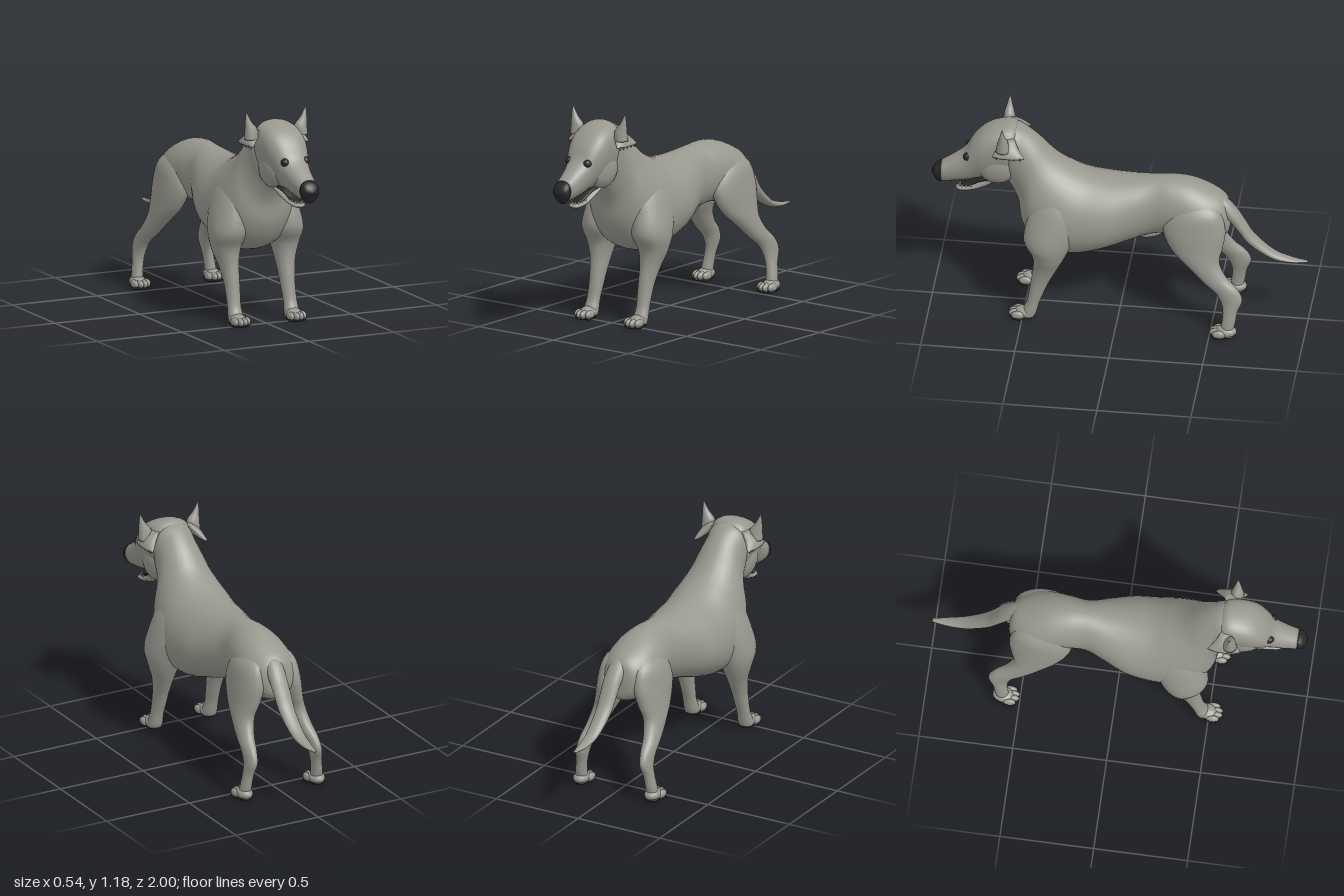
import * as THREE from 'three';

const coat = new THREE.MeshStandardMaterial({ color: 0x99988f });
coat.name = 'grey coat';
const dark = new THREE.MeshStandardMaterial({ color: 0x262626 });
dark.name = 'dark skin';
const ivory = new THREE.MeshStandardMaterial({ color: 0xc4c0b4 });
ivory.name = 'ivory teeth';

// Smooth skin over elliptical sections: [zA, yA, zB, yB, halfWidth, centreX, bulge].
// A and B are opposite points of the ring; bulge moves its widest line towards A (+) or B (-).
function loft(sections, segs = 28, sub = 5) {
  const curve = (f) => new THREE.CatmullRomCurve3(sections.map(f), false, 'catmullrom', 0.5);
  const ca = curve((s) => new THREE.Vector3(0, s[1], s[0]));
  const cb = curve((s) => new THREE.Vector3(0, s[3], s[2]));
  const cw = curve((s) => new THREE.Vector3(s[4], s[5] || 0, s[6] || 0));
  const rows = (sections.length - 1) * sub;
  const pos = [], index = [], mids = [], halves = [];
  for (let i = 0; i <= rows; i++) {
    const a = ca.getPoint(i / rows), b = cb.getPoint(i / rows), w = cw.getPoint(i / rows);
    const mid = a.clone().add(b).multiplyScalar(0.5).setX(w.y);
    const half = a.sub(b).multiplyScalar(0.5);
    mids.push(mid);
    halves.push(half);
    for (let j = 0; j < segs; j++) {
      const t = (j / segs) * Math.PI * 2, s = Math.sin(t);
      const p = mid.clone().addScaledVector(half, Math.cos(t) + w.z * s * s);
      pos.push(p.x + s * Math.max(w.x, 0.002), p.y, p.z);
    }
  }
  const m = Math.floor(rows / 2);
  const dir = mids[m + 1].clone().sub(mids[m]);
  const flip = new THREE.Vector3(1, 0, 0).cross(dir).dot(halves[m]) < 0;
  const tri = (a, b, c) => (flip ? index.push(a, c, b) : index.push(a, b, c));
  for (let i = 0; i < rows; i++) {
    for (let j = 0; j < segs; j++) {
      const k = (j + 1) % segs, a = i * segs, b = a + segs;
      tri(a + j, a + k, b + j);
      tri(a + k, b + k, b + j);
    }
  }
  // end caps
  const first = pos.length / 3, last = rows * segs;
  pos.push(...mids[0].toArray(), ...mids[rows].toArray());
  for (let j = 0; j < segs; j++) {
    const k = (j + 1) % segs;
    tri(first, k, j);
    tri(first + 1, last + j, last + k);
  }
  const geo = new THREE.BufferGeometry();
  geo.setAttribute('position', new THREE.Float32BufferAttribute(pos, 3));
  geo.setIndex(index);
  geo.computeVertexNormals();
  return geo;
}

export function createModel() {
  const dog = new THREE.Group();
  dog.name = 'dog';
  const add = (name, geo, mat = coat, parent = dog) => {
    const mesh = new THREE.Mesh(geo, mat);
    mesh.name = name;
    parent.add(mesh);
    return mesh;
  };
  const ball = (name, x, y, z, rx, ry, rz, mat, parent) => {
    const mesh = add(name, new THREE.SphereGeometry(1, 18, 12), mat, parent);
    mesh.position.set(x, y, z);
    mesh.scale.set(rx, ry, rz);
    return mesh;
  };

  // rump, belly, chest and neck in one skin
  add('body', loft([
    [-0.585, 0.66, -0.585, 0.6, 0.03], [-0.56, 0.74, -0.575, 0.53, 0.09],
    [-0.48, 0.79, -0.5, 0.5, 0.142], [-0.38, 0.83, -0.38, 0.5, 0.15],
    [-0.28, 0.845, -0.27, 0.51, 0.136], [-0.18, 0.84, -0.16, 0.49, 0.127],
    [-0.06, 0.828, -0.06, 0.455, 0.165], [0.06, 0.828, 0.06, 0.415, 0.208, 0, -0.1],
    [0.18, 0.845, 0.2, 0.37, 0.222, 0, -0.1], [0.27, 0.885, 0.32, 0.365, 0.222, 0, -0.1],
    [0.33, 0.925, 0.45, 0.42, 0.205, 0, -0.1], [0.375, 0.97, 0.52, 0.53, 0.175, 0, -0.1],
    [0.43, 1.03, 0.54, 0.65, 0.14], [0.49, 1.08, 0.57, 0.72, 0.12, 0, 0.1],
    [0.55, 1.108, 0.6, 0.765, 0.112, 0, 0.25], [0.6, 1.09, 0.62, 0.8, 0.08, 0, 0.25],
  ], 40));
  ball('sheath', 0.01, 0.49, -0.16, 0.03, 0.028, 0.075).rotation.x = 0.25;

  add('tail', loft([
    [-0.46, 0.77, -0.48, 0.68, 0.045, 0.01], [-0.555, 0.745, -0.53, 0.65, 0.05, 0.015],
    [-0.625, 0.675, -0.575, 0.62, 0.05, 0.02], [-0.67, 0.6, -0.63, 0.55, 0.048, 0.02],
    [-0.72, 0.52, -0.69, 0.47, 0.044, 0.02], [-0.82, 0.43, -0.81, 0.39, 0.036, 0.02],
    [-0.92, 0.393, -0.915, 0.37, 0.025, 0.02], [-1, 0.382, -1, 0.374, 0.01, 0.02],
  ], 18));

  // head with a broad forehead, nose and jaw
  const head = new THREE.Group();
  head.name = 'head';
  dog.add(head);
  add('skull', loft([
    [0.5, 1.04, 0.53, 0.86, 0.06, 0, 0.2], [0.56, 1.115, 0.6, 0.775, 0.112, 0, 0.3],
    [0.64, 1.112, 0.67, 0.77, 0.118, 0.005, 0.35], [0.72, 1.078, 0.72, 0.773, 0.113, 0.01, 0.33],
    [0.78, 1.02, 0.76, 0.77, 0.095, 0.013, 0.28], [0.825, 0.948, 0.8, 0.76, 0.077, 0.017, 0.22],
    [0.89, 0.897, 0.87, 0.748, 0.064, 0.02, 0.15], [0.95, 0.857, 0.945, 0.738, 0.053, 0.023, 0.2],
  ], 32), coat, head);
  add('nose', loft([
    [0.95, 0.858, 0.945, 0.737, 0.0535, 0.023, 0.2], [0.975, 0.842, 0.963, 0.736, 0.049, 0.025, 0.25],
    [0.992, 0.82, 0.975, 0.75, 0.038, 0.025, 0.2], [1, 0.8, 0.985, 0.775, 0.018, 0.025],
  ]), dark, head);
  add('lowerJaw', loft([
    [0.64, 0.83, 0.64, 0.775, 0.072, 0.005], [0.73, 0.768, 0.72, 0.722, 0.052, 0.012],
    [0.8, 0.727, 0.79, 0.697, 0.041, 0.018], [0.85, 0.718, 0.85, 0.69, 0.033, 0.02],
    [0.872, 0.709, 0.872, 0.7, 0.014, 0.021],
  ], 20), coat, head);
  add('mouthLining', loft([
    [0.68, 0.8, 0.68, 0.77, 0.056, 0.01], [0.74, 0.777, 0.74, 0.755, 0.045, 0.013],
    [0.8, 0.742, 0.8, 0.72, 0.032, 0.018], [0.845, 0.724, 0.845, 0.714, 0.021, 0.02],
  ], 16), dark, head);
  for (let i = 0; i < 9; i++) {
    const t = (i / 8 - 0.5) * Math.PI;
    const tooth = add('tooth', new THREE.ConeGeometry(0.006, 0.02, 6), ivory, head);
    tooth.position.set(0.02 + 0.03 * Math.sin(t), 0.735 - 0.012 * Math.cos(t), 0.79 + 0.066 * Math.cos(t));
  }

  // toes and pads around a foot centred at (x, z)
  const paw = (x, z, name) => {
    const foot = new THREE.Group();
    foot.name = name;
    foot.position.set(x, 0, z);
    dog.add(foot);
    ball('instep', 0, 0.034, -0.01, 0.043, 0.032, 0.058, coat, foot);
    ball('heelPad', 0, 0.012, -0.014, 0.04, 0.012, 0.048, dark, foot);
    for (let i = 0; i < 4; i++) {
      const u = i - 1.5, tz = 0.042 - 0.008 * u * u;
      ball('toe', u * 0.024, 0.029, tz, 0.0165, 0.023, 0.036, coat, foot);
      ball('toePad', u * 0.024, 0.01, tz + 0.001, 0.015, 0.01, 0.032, dark, foot);
    }
  };

  // paired parts
  for (const s of [1, -1]) {
    const side = s > 0 ? 'left' : 'right';
    ball(side + 'Eye', 0.015 + s * 0.06, 0.931, 0.803, 0.022, 0.023, 0.026, dark, head);
    ball(side + 'Cheek', 0.005 + s * 0.052, 0.88, 0.65, 0.058, 0.11, 0.11, coat, head);

    // upright ear tip above a drooping flap with a ragged hem
    add(side + 'EarTip', loft([
      [0.645, 1.03, 0.57, 1.03, 0.034, s * 0.15], [0.637, 1.08, 0.58, 1.08, 0.036, s * 0.146],
      [0.624, 1.125, 0.594, 1.125, 0.018, s * 0.163], [0.61, 1.178, 0.606, 1.178, 0.002, s * 0.175],
    ], 14), coat, head);
    add(side + 'EarFlap', loft([
      [0.61, 1.075, 0.55, 1.075, 0.02, s * 0.1], [0.635, 1.045, 0.53, 1.045, 0.03, s * 0.13],
      [0.655, 1.015, 0.505, 1.015, 0.026, s * 0.152], [0.665, 0.998, 0.49, 0.998, 0.018, s * 0.163],
    ], 18), coat, head);
    for (let i = 0; i < 5; i++) {
      const tuft = add(side + 'EarTuft', new THREE.ConeGeometry(0.014, 0.024, 8), coat, head);
      tuft.rotation.x = Math.PI;
      tuft.position.set(s * 0.164, 0.992, 0.515 + i * 0.031);
    }

    // front leg with shoulder, A at the front and B at the back
    add(side + 'FrontLeg', loft([
      [0.4, 0.81, 0.27, 0.8, 0.03, s * 0.09], [0.44, 0.74, 0.21, 0.72, 0.07, s * 0.124],
      [0.475, 0.63, 0.2, 0.61, 0.088, s * 0.15], [0.495, 0.5, 0.24, 0.48, 0.1, s * 0.165],
      [0.45, 0.41, 0.28, 0.39, 0.078, s * 0.172], [0.443, 0.33, 0.32, 0.31, 0.055, s * 0.167],
      [0.455, 0.24, 0.36, 0.23, 0.043, s * 0.163], [0.465, 0.17, 0.388, 0.16, 0.039, s * 0.163],
      [0.478, 0.1, 0.41, 0.1, 0.037, s * 0.165], [0.5, 0.05, 0.425, 0.04, 0.041, s * 0.165],
      [0.5, 0.015, 0.435, 0.015, 0.038, s * 0.165],
    ]));
    paw(s * 0.165, 0.497, side + 'FrontPaw');

    // hind leg with thigh and hock
    add(side + 'HindLeg', loft([
      [-0.34, 0.77, -0.46, 0.76, 0.03, s * 0.07], [-0.27, 0.68, -0.54, 0.7, 0.07, s * 0.092],
      [-0.24, 0.58, -0.572, 0.6, 0.075, s * 0.108], [-0.29, 0.47, -0.56, 0.5, 0.065, s * 0.13],
      [-0.375, 0.39, -0.545, 0.42, 0.053, s * 0.154], [-0.46, 0.31, -0.585, 0.34, 0.042, s * 0.174],
      [-0.53, 0.25, -0.645, 0.28, 0.034, s * 0.187], [-0.562, 0.19, -0.672, 0.22, 0.03, s * 0.195],
      [-0.57, 0.14, -0.648, 0.15, 0.028, s * 0.205], [-0.565, 0.08, -0.636, 0.08, 0.03, s * 0.214],
      [-0.555, 0.015, -0.62, 0.015, 0.034, s * 0.218],
    ]));
    paw(s * 0.218, -0.578, side + 'HindPaw');
  }
  return dog;
}
